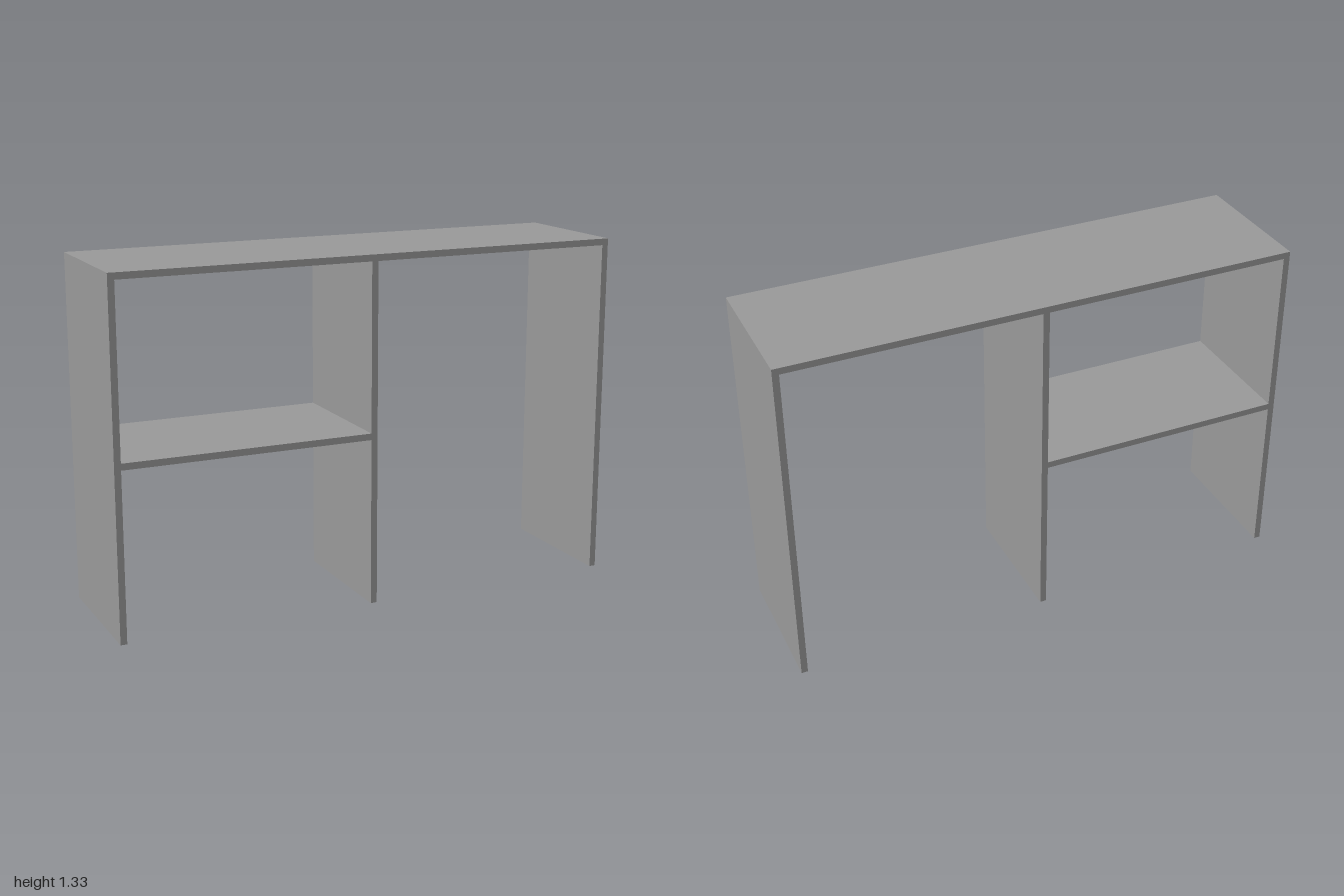
import * as THREE from 'three';

export function createModel() {
  const group = new THREE.Group();
  const grey = new THREE.MeshStandardMaterial({ color: 0x999999 });
  grey.name = 'grey';

  const width = 2, height = 1.333, depth = 0.533, board = 0.025;

  // One flat board spanning the full depth, given by its front rectangle
  function panel(name, x0, x1, y0, y1) {
    const mesh = new THREE.Mesh(new THREE.BoxGeometry(x1 - x0, y1 - y0, depth), grey);
    mesh.position.set((x0 + x1) / 2, (y0 + y1) / 2, 0);
    mesh.name = name;
    group.add(mesh);
  }

  const half = width / 2, under = height - board;

  // Top board
  panel('top', -half, half, under, height);

  // Uprights
  panel('rightSide', -half, -half + board, 0, under);
  panel('divider', -board / 2, board / 2, 0, under);
  panel('leftSide', half - board, half, 0, under);

  // Shelf between the right side and the divider
  panel('shelf', -half + board, -board / 2, 0.667 - board, 0.667);

  return group;
}
